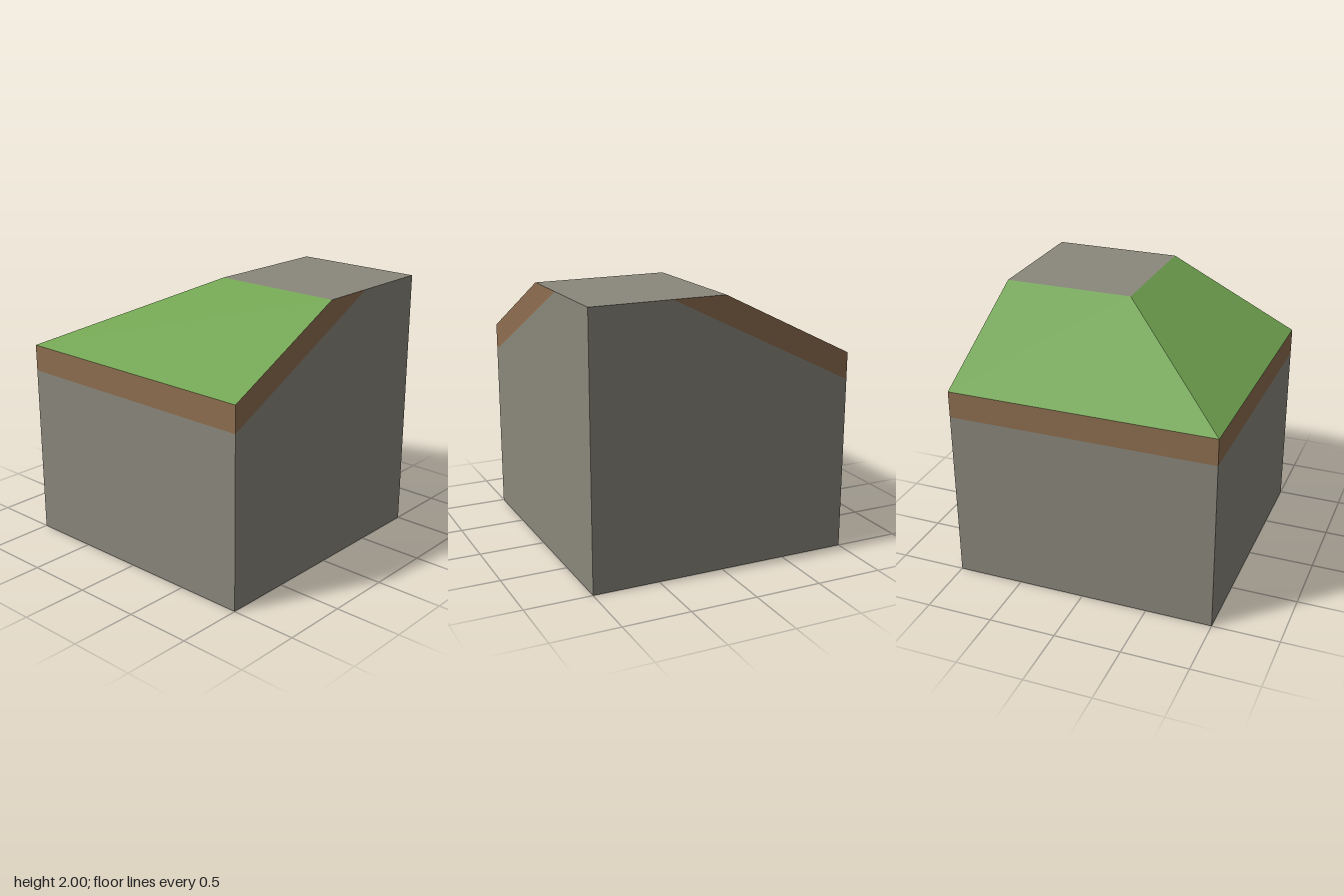
import * as THREE from 'three';

const material = (name, color) => {
  const m = new THREE.MeshStandardMaterial({ color, side: THREE.DoubleSide });
  m.name = name;
  return m;
};

// Flat convex panel, corners anticlockwise seen from outside
function panel(name, mat, corners) {
  const g = new THREE.BufferGeometry();
  g.setAttribute('position', new THREE.Float32BufferAttribute(corners.flat(), 3));
  const index = [];
  for (let i = 1; i < corners.length - 1; i++) index.push(0, i, i + 1);
  g.setIndex(index);
  g.computeVertexNormals();
  const mesh = new THREE.Mesh(g, mat);
  mesh.name = name;
  return mesh;
}

export function createModel() {
  const grass = material('grass green', 0x6fa34e);
  const soil = material('soil brown', 0x8e6e51);
  const stone = material('stone grey', 0x8a877b);
  const model = new THREE.Group();
  model.name = 'terrainCornerBlock';

  const low = 1.5, high = 2, soilLow = 1.3, soilEnd = -0.4;

  // Front half of the block: each panel has a twin across the diagonal x = -z
  const half = [
    ['GrassSlope', grass, [[-1, low, 1], [1, low, 1], [1, high, 0], [0, high, 0]]],
    ['SoilBand', soil, [[-1, soilLow, 1], [1, soilLow, 1], [1, low, 1], [-1, low, 1]]],
    ['StoneWall', stone, [[-1, 0, 1], [1, 0, 1], [1, soilLow, 1], [-1, soilLow, 1]]],
    ['SideSoilBand', soil, [[1, soilLow, 1], [1, high, soilEnd], [1, high, 0], [1, low, 1]]],
    ['SideStoneWall', stone, [[1, 0, 1], [1, 0, -1], [1, high, -1], [1, high, soilEnd], [1, soilLow, 1]]],
  ];
  for (const [name, mat, pts] of half) {
    model.add(panel('front' + name, mat, pts));
    const mirrored = pts.map(([x, y, z]) => [-z, y, -x]).reverse();
    model.add(panel('back' + name, mat, mirrored));
  }

  // Flat stone top at the high corner; the underside stays open
  model.add(panel('stoneTop', stone, [[0, high, 0], [1, high, 0], [1, high, -1], [0, high, -1]]));
  return model;
}
